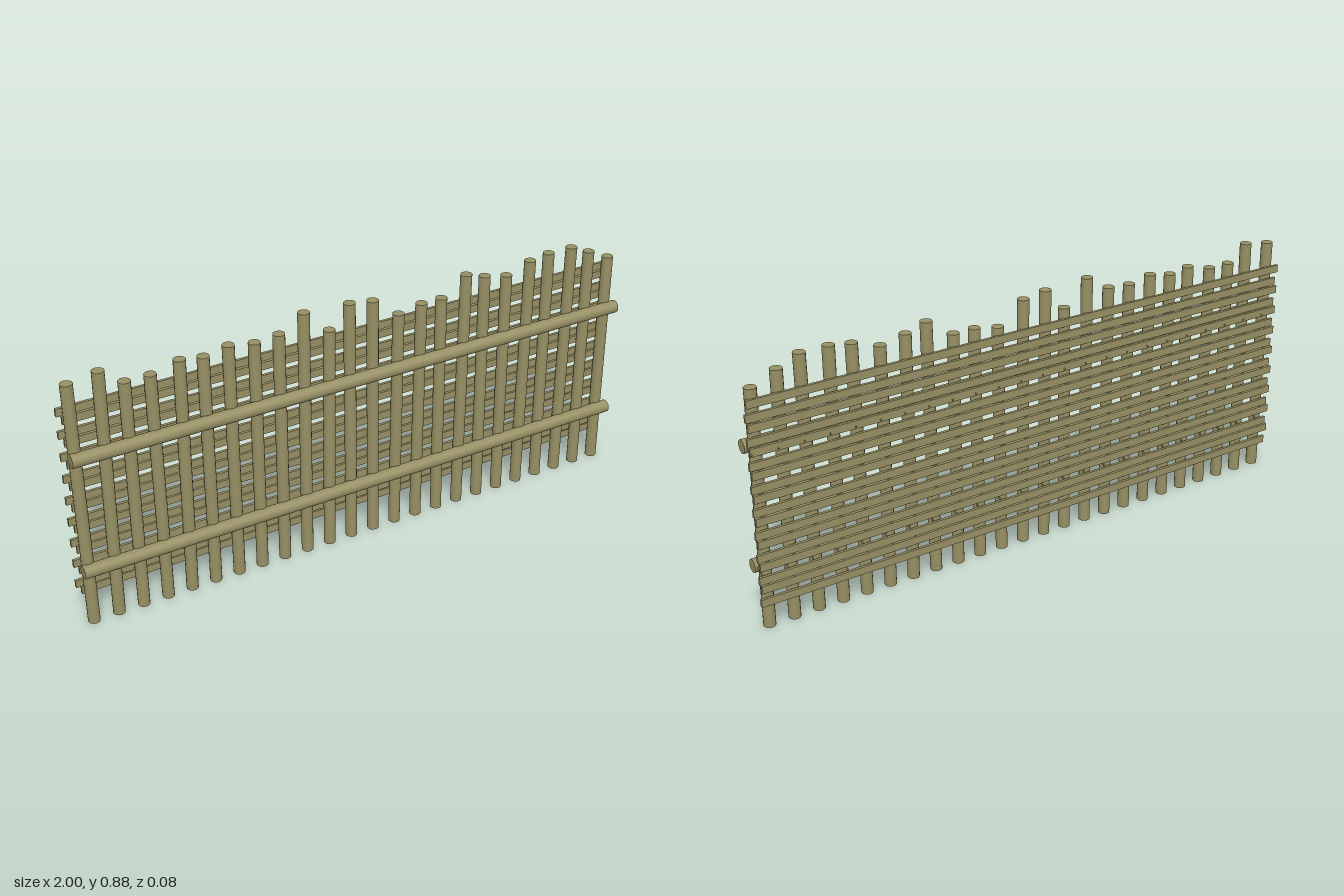
import * as THREE from 'three';

export function createModel() {
  const model = new THREE.Group();
  const wood = new THREE.MeshStandardMaterial({ color: 0x968f64 });
  wood.name = 'dryWood';

  const add = (geometry, name, x, y, z) => {
    const mesh = new THREE.Mesh(geometry, wood);
    mesh.name = name;
    mesh.position.set(x, y, z);
    model.add(mesh);
    return mesh;
  };

  // Upright stakes: evenly spaced feet, uneven heights, slightly leaning tops
  const heights = [
    0.845, 0.86, 0.805, 0.805, 0.828, 0.818, 0.833, 0.818, 0.825, 0.875, 0.793, 0.867,
    0.855, 0.785, 0.8, 0.8, 0.86, 0.838, 0.82, 0.85, 0.86, 0.86, 0.828, 0.79];
  const tops = [
    -0.965, -0.868, -0.792, -0.711, -0.617, -0.541, -0.458, -0.372, -0.289, -0.203, -0.115, -0.043,
    0.04, 0.135, 0.22, 0.295, 0.388, 0.46, 0.546, 0.639, 0.713, 0.806, 0.88, 0.963];
  heights.forEach((h, i) => {
    const foot = -0.96 + i * 0.0837;
    const geo = new THREE.CylinderGeometry(0.0195, 0.0195, h, 16);
    geo.translate(0, h / 2, 0);
    const p = geo.attributes.position;
    for (let k = 0; k < p.count; k++) {
      p.setX(k, p.getX(k) + (tops[i] - foot) * p.getY(k) / h);
    }
    add(geo, 'stake', foot, 0, -0.003);
  });

  // Two round rails across the front
  for (const y of [0.205, 0.602]) {
    const rail = add(new THREE.CylinderGeometry(0.022, 0.022, 1.98, 20), 'rail', 0.005, y, 0.019);
    rail.rotation.z = Math.PI / 2;

    // Thin ties slanting from the rail back to the slats
    for (let i = 0; i < heights.length; i++) {
      const tie = add(new THREE.BoxGeometry(0.004, 0.003, 0.036), 'tie',
        -0.96 + i * 0.0837 + 0.022, y - 0.004, -0.016);
      tie.rotation.x = -0.42;
    }
  }

  // Flat slats behind the stakes, alternating between two layers
  for (let i = 0; i < 18; i++) {
    const inner = i % 2 === 1;
    add(new THREE.BoxGeometry(inner ? 1.99 : 1.98, 0.026, 0.0095), 'slat',
      inner ? -0.005 : 0.01, 0.103 + i * 0.038, inner ? -0.0235 : -0.0345);
  }
  return model;
}
